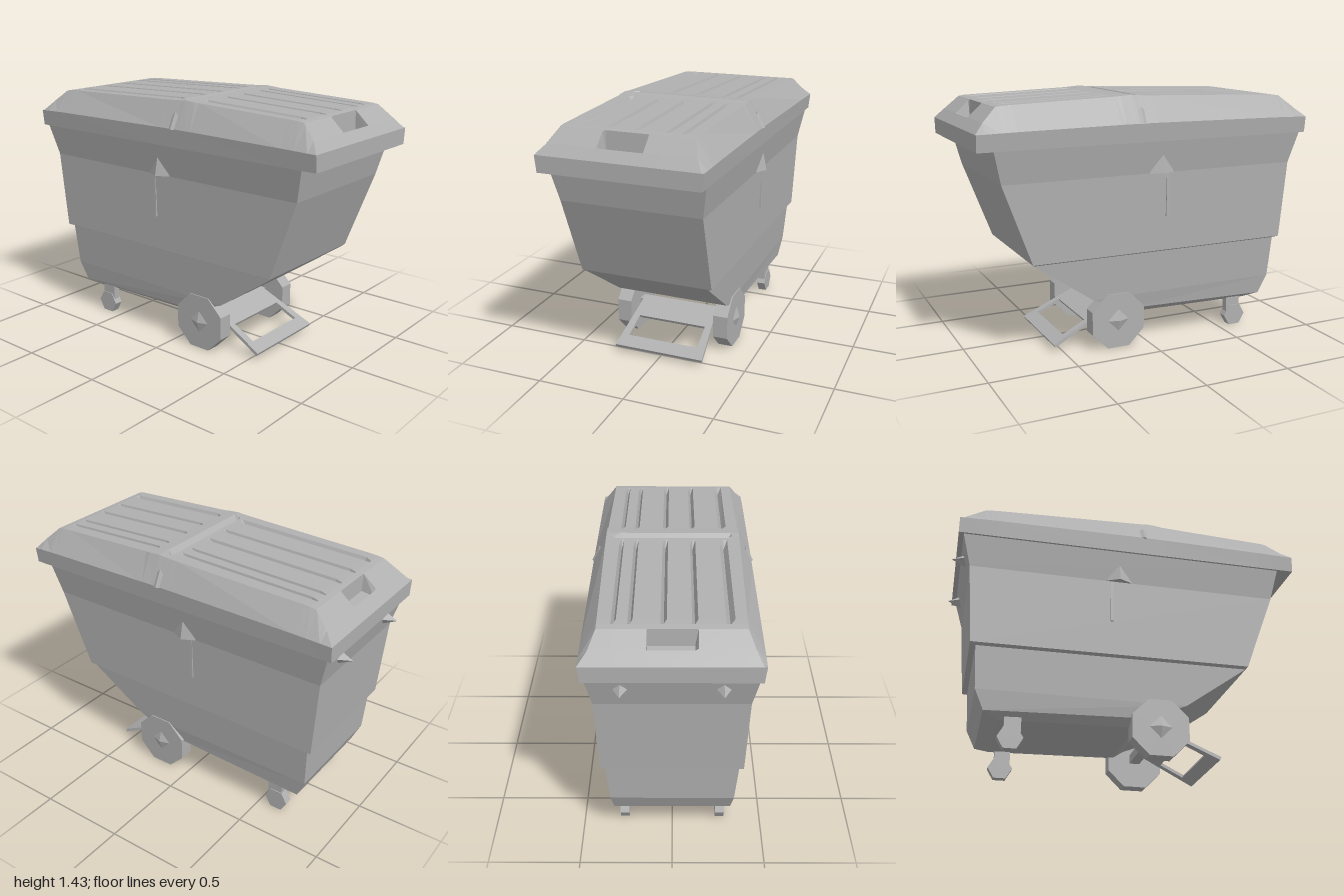
import * as THREE from 'three';

// Skin consecutive rings of points with flat faces and close both ends.
function loft(rings) {
  const pos = [];
  const tri = (a, b, c) => pos.push(...a, ...b, ...c);
  const n = rings[0].length;
  for (let i = 0; i < rings.length - 1; i++) {
    for (let j = 0; j < n; j++) {
      const k = (j + 1) % n, r0 = rings[i], r1 = rings[i + 1];
      tri(r0[j], r0[k], r1[k]);
      tri(r0[j], r1[k], r1[j]);
    }
  }
  const first = rings[0], last = rings[rings.length - 1];
  for (let j = 1; j < n - 1; j++) {
    tri(first[0], first[j + 1], first[j]);
    tri(last[0], last[j], last[j + 1]);
  }
  const g = new THREE.BufferGeometry();
  g.setAttribute('position', new THREE.Float32BufferAttribute(pos, 3));
  g.computeVertexNormals();
  return g;
}

// Facet a built-in geometry.
function faceted(geometry) {
  const g = geometry.index ? geometry.toNonIndexed() : geometry;
  g.computeVertexNormals();
  return g;
}

export function createModel() {
  const model = new THREE.Group();
  model.name = 'wheeledBin';
  const grey = new THREE.MeshStandardMaterial({ color: 0xb0b0b0 });
  grey.name = 'grey';
  const add = (name, geometry, x = 0, y = 0, z = 0) => {
    const m = new THREE.Mesh(geometry, grey);
    m.name = name;
    m.position.set(x, y, z);
    model.add(m);
    return m;
  };

  // Tub: rectangles of [y front, y back, z front, z back, half width]
  const tub = [
    [0.175, 0.16, 0.06, -0.68, 0.27],
    [0.215, 0.19, 0.12, -0.76, 0.32],
    [0.30, 0.30, 0.34, -0.81, 0.335],
    [0.545, 0.54, 0.69, -0.825, 0.355],
    [0.555, 0.55, 0.70, -0.855, 0.375],
    [1.0, 1.0, 0.865, -0.89, 0.39],
    [1.19, 1.19, 0.91, -0.94, 0.425],
  ];
  add('tub', loft(tub.map(([yf, yb, zf, zb, w]) => [
    [w, yf, zf], [w, yb, zb], [-w, yb, zb], [-w, yf, zf],
  ])));

  // Lid columns: [centre, half width] of each lengthwise groove
  const grooves = [[0.28, 0.012], [0.2, 0.012], [0.04, 0.015], [-0.11, 0.015], [-0.28, 0.022]];
  const columns = [0.12, 0.118, 0.33, -0.33];
  grooves.forEach(([c, w]) => columns.push(c - w, c, c + w));
  columns.sort((a, b) => b - a);

  // Lid rows: [z, crown height, shoulder half width, groove depth, grip floor, seam depth]
  const rows = [
    [-0.965, 1.27, 0.43, 0, 0, 0],
    [-0.905, 1.325, 0.395, 0, 0, 0],
    [-0.9, 1.33, 0.393, 0, 1.29, 0],
    [-0.83, 1.388, 0.362, 0, 1.3, 0],
    [-0.825, 1.392, 0.36, 0, 0, 0],
    [-0.79, 1.397, 0.36, 0, 0, 0],
    [-0.75, 1.4, 0.36, 0.035, 0, 0],
    [0.0, 1.422, 0.37, 0.035, 0, 0],
    [0.05, 1.424, 0.37, 0, 0, 0],
    [0.07, 1.425, 0.37, 0, 0, 0],
    [0.09, 1.426, 0.37, 0, 0, 0.03],
    [0.125, 1.43, 0.37, 0, 0, 0],
    [0.19, 1.425, 0.37, 0, 0, 0],
    [0.22, 1.423, 0.365, 0.035, 0, 0],
    [0.79, 1.402, 0.36, 0.03, 0, 0],
    [0.84, 1.4, 0.36, 0, 0, 0],
    [0.875, 1.395, 0.36, 0, 0, 0],
    [0.88, 1.39, 0.362, 0, 1.29, 0],
    [0.95, 1.325, 0.395, 0, 1.28, 0],
    [0.953, 1.322, 0.397, 0, 0, 0],
    [1.0, 1.27, 0.43, 0, 0, 0],
  ];
  add('lid', loft(rows.map(([z, top, shoulder, depth, floor, seam]) => {
    const rim = 1.27 + 0.012 * (1 - z * z);
    const isGroove = x => grooves.some(([c]) => c === x);
    const y = x => {
      if (floor && x < 0.119 && x > -0.112) return floor;
      if (Math.abs(x) < 0.32) return top - seam - (isGroove(x) ? depth : 0);
      return top;
    };
    return [
      [0.435, 1.18, z], [0.445, Math.min(rim, top), z], [shoulder, top, z],
      ...columns.map(x => [x, y(x), z]),
      [-shoulder, top, z], [-0.445, Math.min(rim, top), z], [-0.435, 1.18, z],
    ];
  })));

  // Tow frame, sloping forward and down from the axle
  const shape = new THREE.Shape([[-0.23, 0], [0.23, 0], [0.265, 0.39], [-0.265, 0.39]]
    .map(p => new THREE.Vector2(...p)));
  shape.holes.push(new THREE.Path([[-0.205, 0.16], [-0.21, 0.31], [0.21, 0.31], [0.205, 0.16]]
    .map(p => new THREE.Vector2(...p))));
  const frame = new THREE.ExtrudeGeometry(shape, { depth: 0.018, bevelEnabled: false });
  frame.rotateX(2.02);
  add('towFrame', frame, 0, 0.215, 0.2);
  add('axle', new THREE.BoxGeometry(0.56, 0.05, 0.06), 0, 0.17, 0.19);

  for (const s of [1, -1]) {
    // Main wheels with a shallow pointed hub
    const wheel = new THREE.CylinderGeometry(0.172, 0.172, 0.085, 8);
    wheel.rotateY(Math.PI / 8).rotateZ(Math.PI / 2);
    add('wheel', faceted(wheel), s * 0.3, 0.162, 0.19);
    const hub = new THREE.ConeGeometry(0.065, 0.02, 4);
    hub.rotateZ(-s * Math.PI / 2);
    add('wheelHub', faceted(hub), s * 0.352, 0.165, 0.19);

    // Rear casters
    const caster = new THREE.CylinderGeometry(0.07, 0.07, 0.05, 6);
    caster.rotateZ(Math.PI / 2);
    add('caster', faceted(caster), s * 0.27, 0.062, -0.61);
    add('casterBracket', new THREE.BoxGeometry(0.04, 0.11, 0.09), s * 0.27, 0.135, -0.6);

    // Side brackets, lid pivots and rear hooks
    const bracket = new THREE.ConeGeometry(0.075, 0.18, 4);
    bracket.scale(0.5, 1, 1);
    add('sideBracket', faceted(bracket), s * 0.392, 1.09, -0.05);
    add('sideRib', new THREE.BoxGeometry(0.012, 0.26, 0.015), s * 0.386, 0.88, -0.09);
    const pivot = new THREE.ConeGeometry(0.09, 0.09, 4);
    pivot.scale(0.5, 1, 1);
    add('lidPivot', faceted(pivot), s * 0.41, 1.325, 0.09);
    const hook = new THREE.ConeGeometry(0.045, 0.09, 4);
    hook.rotateX(-Math.PI / 2);
    add('rearHook', faceted(hook), s * 0.25, 1.11, -0.945);
  }
  return model;
}
